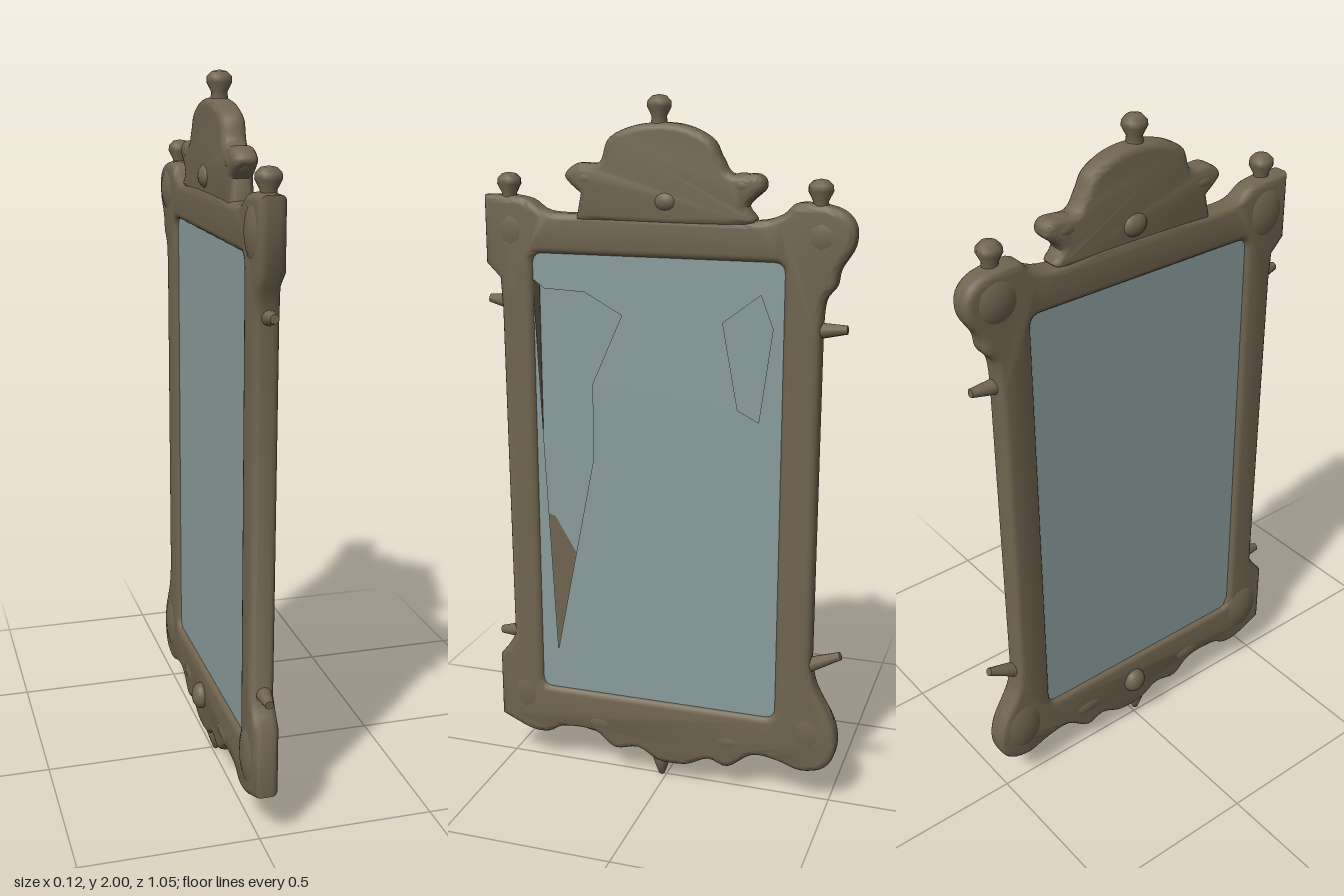
import * as THREE from 'three';
import { toCreasedNormals } from 'three/addons/utils/BufferGeometryUtils.js';

// The mirror is drawn in a (u, y) plane, with u = -z, and given its thickness along x.

const vec = (pts) => pts.map(([u, y]) => new THREE.Vector2(u, y));

function roundedRect(Target, u0, y0, u1, y1, r) {
  const s = new Target();
  s.moveTo(u0 + r, y0);
  s.lineTo(u1 - r, y0); s.quadraticCurveTo(u1, y0, u1, y0 + r);
  s.lineTo(u1, y1 - r); s.quadraticCurveTo(u1, y1, u1 - r, y1);
  s.lineTo(u0 + r, y1); s.quadraticCurveTo(u0, y1, u0, y1 - r);
  s.lineTo(u0, y0 + r); s.quadraticCurveTo(u0, y0, u0 + r, y0);
  return s;
}

// Rounded carving between two x planes
function carve(shape, x0, x1, bevel) {
  const g = new THREE.ExtrudeGeometry(shape, {
    depth: x1 - x0 - 2 * bevel, bevelThickness: bevel, bevelSize: bevel,
    bevelOffset: -bevel, bevelSegments: 4, curveSegments: 6,
  });
  g.translate(0, 0, x0 + bevel);
  g.rotateY(Math.PI / 2);
  return toCreasedNormals(g, 0.9);
}

export function createModel() {
  const model = new THREE.Group();
  const wood = new THREE.MeshStandardMaterial({ color: 0x70644f });
  wood.name = 'carved wood';
  const silver = new THREE.MeshStandardMaterial({ color: 0x8a9c9c, side: THREE.DoubleSide });
  silver.name = 'mirror glass';

  const add = (name, geometry, material = wood) => {
    const m = new THREE.Mesh(geometry, material);
    m.name = name;
    model.add(m);
    return m;
  };

  // Frame body: scalloped foot, straight stiles, flared shoulders
  const foot = new THREE.SplineCurve(vec([
    [-0.525, 0.14], [-0.43, 0.10], [-0.37, 0.10], [-0.32, 0.125], [-0.22, 0.125], [-0.155, 0.08],
    [-0.08, 0.092], [-0.015, 0.06], [0.07, 0.06], [0.14, 0.09], [0.2, 0.075], [0.275, 0.125],
    [0.35, 0.12], [0.42, 0.10], [0.49, 0.12], [0.52, 0.18], [0.51, 0.26], [0.455, 0.365], [0.44, 0.44],
  ])).getPoints(72);
  const top = new THREE.SplineCurve(vec([
    [0.44, 1.40], [0.447, 1.475], [0.475, 1.515], [0.485, 1.56], [0.52, 1.62], [0.518, 1.68],
    [0.47, 1.72], [0.37, 1.73], [0.33, 1.70], [0.26, 1.68], [0.12, 1.69], [-0.12, 1.69],
    [-0.25, 1.685], [-0.34, 1.69], [-0.39, 1.72], [-0.44, 1.73],
  ])).getPoints(60);
  const side = vec([[-0.525, 1.73], [-0.525, 1.54], [-0.485, 1.50], [-0.48, 1.42],
    [-0.475, 0.41], [-0.50, 0.37], [-0.525, 0.34]]);
  const body = new THREE.Shape([...foot, ...top, ...side]);
  body.holes.push(roundedRect(THREE.Path, -0.382, 0.258, 0.338, 1.572, 0.03));
  add('frame', carve(body, -0.024, 0.046, 0.02));

  // Scrolled crest above the top rail
  const crest = new THREE.SplineCurve(vec([
    [-0.25, 1.665], [0.22, 1.665], [0.235, 1.72], [0.28, 1.765], [0.262, 1.80], [0.19, 1.80],
    [0.16, 1.84], [0.13, 1.89], [0.05, 1.925], [-0.06, 1.925], [-0.15, 1.89], [-0.18, 1.825],
    [-0.245, 1.82], [-0.28, 1.785], [-0.235, 1.74],
  ]));
  add('crest', carve(new THREE.Shape(crest.getPoints(80)), -0.019, 0.05, 0.02));

  // Soft swellings: [name, x, y, u, half sizes in x, y, u]
  const swell = [
    ['shoulderSwelling', 0.007, 1.635, -0.445, 0.043, 0.095, 0.078],
    ['shoulderSwelling', 0.007, 1.645, 0.435, 0.043, 0.08, 0.08],
    ['footSwelling', 0.007, 0.225, -0.44, 0.043, 0.11, 0.083],
    ['footSwelling', 0.007, 0.225, 0.435, 0.043, 0.11, 0.08],
    ['footScroll', 0.01, 0.16, -0.2, 0.038, 0.045, 0.1],
    ['footScroll', 0.01, 0.16, 0.2, 0.038, 0.045, 0.1],
    ['crestScroll', 0.015, 1.78, -0.22, 0.037, 0.035, 0.055],
    ['crestScroll', 0.015, 1.77, 0.22, 0.037, 0.033, 0.055],
    ['crestBoss', 0.025, 1.725, 0.01, 0.035, 0.033, 0.04],
    ['crestBoss', -0.01, 1.725, 0.01, 0.025, 0.033, 0.04],
    ['footBoss', -0.028, 0.17, 0.02, 0.028, 0.04, 0.036],
  ];
  for (const [name, x, y, u, sx, sy, su] of swell) {
    const m = add(name, new THREE.SphereGeometry(1, 20, 14));
    m.position.set(x, y, -u);
    m.scale.set(sx, sy, su);
  }

  // Turned finials
  const knob = new THREE.LatheGeometry(vec([
    [0.026, -0.03], [0.024, 0.0], [0.021, 0.02], [0.034, 0.045], [0.033, 0.06], [0.02, 0.073], [0, 0.077],
  ]), 10);
  for (const [y, u] of [[1.924, -0.015], [1.715, -0.455], [1.715, 0.425]]) {
    add('finial', knob).position.set(0.017, y, -u);
  }

  // Pendant drop under the foot
  const drop = new THREE.LatheGeometry(vec([[0, 0], [0.009, 0.008], [0.017, 0.03], [0.027, 0.06], [0.02, 0.09]]), 10);
  add('pendant', drop).position.set(0.01, 0, 0.012);

  // Small pegs on the outer edges: start and end as [u, y]
  const pegs = [
    [[-0.46, 1.43], [-0.525, 1.437]], [[-0.46, 0.42], [-0.525, 0.413]],
    [[0.42, 1.395], [0.508, 1.402]], [[0.42, 0.425], [0.522, 0.47]],
  ];
  for (const [[u0, y0], [u1, y1]] of pegs) {
    const a = new THREE.Vector3(0.015, y0, -u0), b = new THREE.Vector3(0.015, y1, -u1);
    const dir = b.clone().sub(a);
    const peg = add('sidePeg', new THREE.CylinderGeometry(0.012, 0.024, dir.length(), 10));
    peg.position.copy(a).add(b).multiplyScalar(0.5);
    peg.quaternion.setFromUnitVectors(new THREE.Vector3(0, 1, 0), dir.normalize());
  }

  // Two glass faces, one with broken-out openings
  const plate = (shape, x) => new THREE.ShapeGeometry(shape).rotateY(Math.PI / 2).translate(x, 0, 0);
  const pane = () => roundedRect(THREE.Shape, -0.395, 0.245, 0.35, 1.585, 0.03);
  const broken = pane();
  broken.holes.push(
    new THREE.Path(vec([[-0.385, 1.50], [-0.35, 1.475], [-0.23, 1.47], [-0.12, 1.41],
      [-0.21, 1.21], [-0.21, 0.99], [-0.333, 0.38]])),
    new THREE.Path(vec([[0.17, 1.405], [0.275, 1.485], [0.31, 1.395], [0.275, 1.135], [0.215, 1.165]])),
  );
  add('brokenGlass', plate(broken, 0.034), silver);
  add('glass', plate(pane(), -0.01), silver);

  // Bare wood inside the long opening
  const bare = new THREE.Shape(vec([[-0.38, 0.80], [-0.35, 0.79], [-0.26, 0.64], [-0.31, 0.36], [-0.36, 0.36]]));
  add('bareWood', plate(bare, -0.006));

  return model;
}
